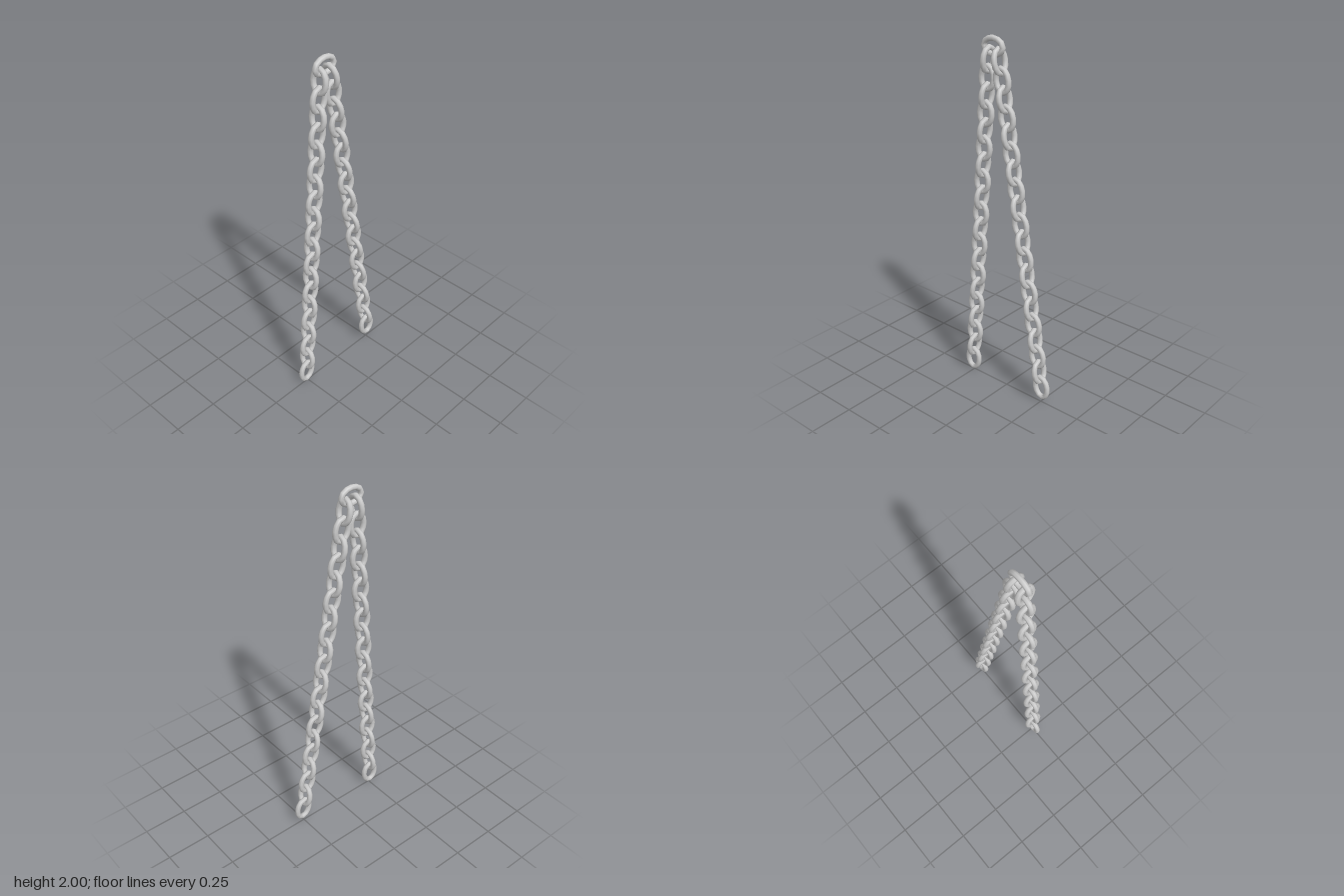
import * as THREE from 'three';

const TUBE = 0.015, HALF_LENGTH = 0.062, HALF_WIDTH = 0.041;

// Closed oval that a link's round bar follows, long axis on y
class Oval extends THREE.Curve {
  getPoint(t, target = new THREE.Vector3()) {
    const a = t * Math.PI * 2;
    return target.set(HALF_WIDTH * Math.sin(a), HALF_LENGTH * Math.cos(a), 0);
  }
}

export function createModel() {
  const model = new THREE.Group();
  model.name = 'hangingChain';
  const material = new THREE.MeshStandardMaterial({ color: 0xcccccc });
  const linkGeometry = new THREE.TubeGeometry(new Oval(), 12, TUBE, 8, true);

  // One link: lean in the xy plane, twist about its own long axis
  function addLink(parent, name, x, y, lean, twist) {
    const link = new THREE.Mesh(linkGeometry, material);
    link.name = name;
    link.position.set(x, y, 0);
    link.rotation.set(0, twist, lean, 'ZYX');
    parent.add(link);
  }

  // A straight strand of links, each turned a quarter from the last
  function addStrand(name, bottom, top, count) {
    const strand = new THREE.Group();
    strand.name = name;
    const lean = -Math.atan2(top[0] - bottom[0], top[1] - bottom[1]);
    for (let i = 0; i < count; i++) {
      const t = i / (count - 1);
      addLink(strand, `${name}Link${i + 1}`,
        THREE.MathUtils.lerp(bottom[0], top[0], t),
        THREE.MathUtils.lerp(bottom[1], top[1], t),
        lean, (i % 2) * Math.PI / 2);
    }
    model.add(strand);
  }

  addStrand('rightStrand', [-0.254, 0.077], [-0.12, 1.875], 20);
  addStrand('leftStrand', [0.251, 0.096], [-0.046, 1.875], 20);

  // Sideways link that carries both strands
  addLink(model, 'topLink', -0.087, 1.944, Math.PI / 2, 0);
  return model;
}
